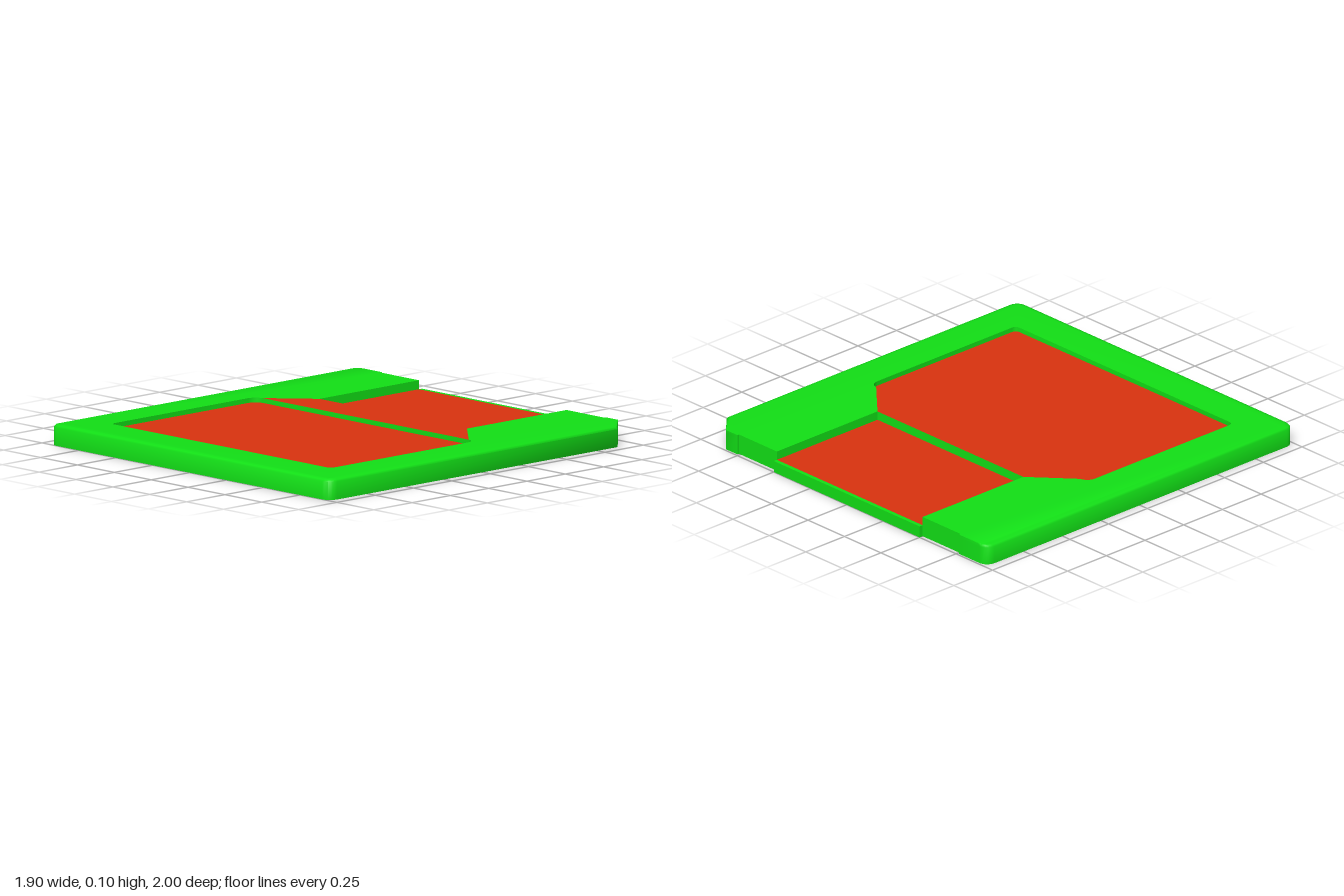
import * as THREE from 'three';
import { mergeGeometries, toCreasedNormals } from 'three/addons/utils/BufferGeometryUtils.js';

const TOP = 0.1, LABEL_Y = 0.077, SHUTTER_Y = 0.057;

// Quarter arc in plan (x, z), from angle a0 to a1 in degrees
function corner(cx, cz, r, a0, a1, n = 5) {
  return Array.from({ length: n + 1 }, (_, i) => {
    const a = THREE.MathUtils.degToRad(a0 + (a1 - a0) * i / n);
    return [cx + r * Math.cos(a), cz + r * Math.sin(a)];
  });
}

// Outer edge of the case; the sides and front move in by the inset
function outline(inset) {
  const r = 0.05 - inset * 0.5, w = 0.95 - inset, f = 1 - inset;
  return [
    [-0.5, -0.98], [-0.76, -0.98], [-0.76, -0.99],
    ...corner(-w + r, -0.99 + r, r, 270, 180),
    ...corner(-w + r, f - r, r, 180, 90),
    ...corner(w - r, f - r, r, 90, 0),
    [w, -0.88], [0.84, -0.99], [0.76, -0.99], [0.76, -0.98], [0.5, -0.98],
  ];
}

// Horizontal face
function flat(points, y, down = false) {
  const s = down ? 1 : -1;
  const shape = new THREE.Shape(points.map(([x, z]) => new THREE.Vector2(x, s * z)));
  const g = new THREE.ShapeGeometry(shape).rotateX(s * Math.PI / 2).translate(0, y, 0);
  return g.toNonIndexed().deleteAttribute('uv');
}

// Strip of faces between two matching paths at two heights
function loft(a, ya, b, yb) {
  const pos = [];
  for (let i = 0; i < a.length - 1; i++) {
    const p = [a[i][0], ya, a[i][1]], q = [a[i + 1][0], ya, a[i + 1][1]];
    const r = [b[i + 1][0], yb, b[i + 1][1]], s = [b[i][0], yb, b[i][1]];
    pos.push(...p, ...q, ...r, ...p, ...r, ...s);
  }
  const g = new THREE.BufferGeometry();
  g.setAttribute('position', new THREE.Float32BufferAttribute(pos, 3));
  g.computeVertexNormals();
  return g;
}
const wall = (path, y0, y1) => loft(path, y0, path, y1);

export function createModel() {
  const group = new THREE.Group();
  const green = new THREE.MeshStandardMaterial({ color: 0x12e016 });
  const red = new THREE.MeshStandardMaterial({ color: 0xda330f });
  const add = (name, geometry, material) => {
    const mesh = new THREE.Mesh(geometry, material);
    mesh.name = name;
    group.add(mesh);
  };

  // Label recess, from the right end of its back edge round to the left end
  const label = [
    [0.7, -0.15],
    ...corner(0.695, -0.1, 0.05, -90, 0).slice(1),
    ...corner(0.72, 0.77, 0.025, 0, 90),
    ...corner(-0.72, 0.77, 0.025, 90, 180),
    ...corner(-0.695, -0.1, 0.05, 180, 270).slice(0, -1),
    [-0.7, -0.15],
  ];
  const shutter = [[0.5, -0.98], [0.5, -0.33], [-0.5, -0.33], [-0.5, -0.98]];
  const lip = [[0.5, -0.98], [0.5, -1], [-0.5, -1], [-0.5, -0.98]];

  // Case: rounded rim, top frame, recess walls, back lip and underside
  const rim = [[0, 0], [0, 0.086], [0.007, 0.095], [0.025, TOP]];
  const pieces = [];
  for (let i = 0; i < rim.length - 1; i++) {
    pieces.push(loft(outline(rim[i][0]), rim[i][1], outline(rim[i + 1][0]), rim[i + 1][1]));
  }
  pieces.push(
    flat([...outline(0.025), [0.5, -0.33], ...label, [-0.5, -0.33]], TOP),
    wall([...label, label[0]], LABEL_Y, TOP),
    wall(shutter, SHUTTER_Y, TOP),
    wall(lip, 0, SHUTTER_Y),
    flat(lip, SHUTTER_Y),
    flat([...outline(0), [0.5, -1], [-0.5, -1]], 0, true),
  );
  add('case', toCreasedNormals(mergeGeometries(pieces), 0.8), green);

  // Red areas: sunken label, sunken shutter, and the flush band between them
  add('labelPanel', flat(label, LABEL_Y), red);
  add('shutterPanel', flat(shutter, SHUTTER_Y), red);
  add('middleBand', flat([[-0.7, -0.15], [0.7, -0.15], [0.5, -0.33], [-0.5, -0.33]], TOP), red);

  return group;
}
